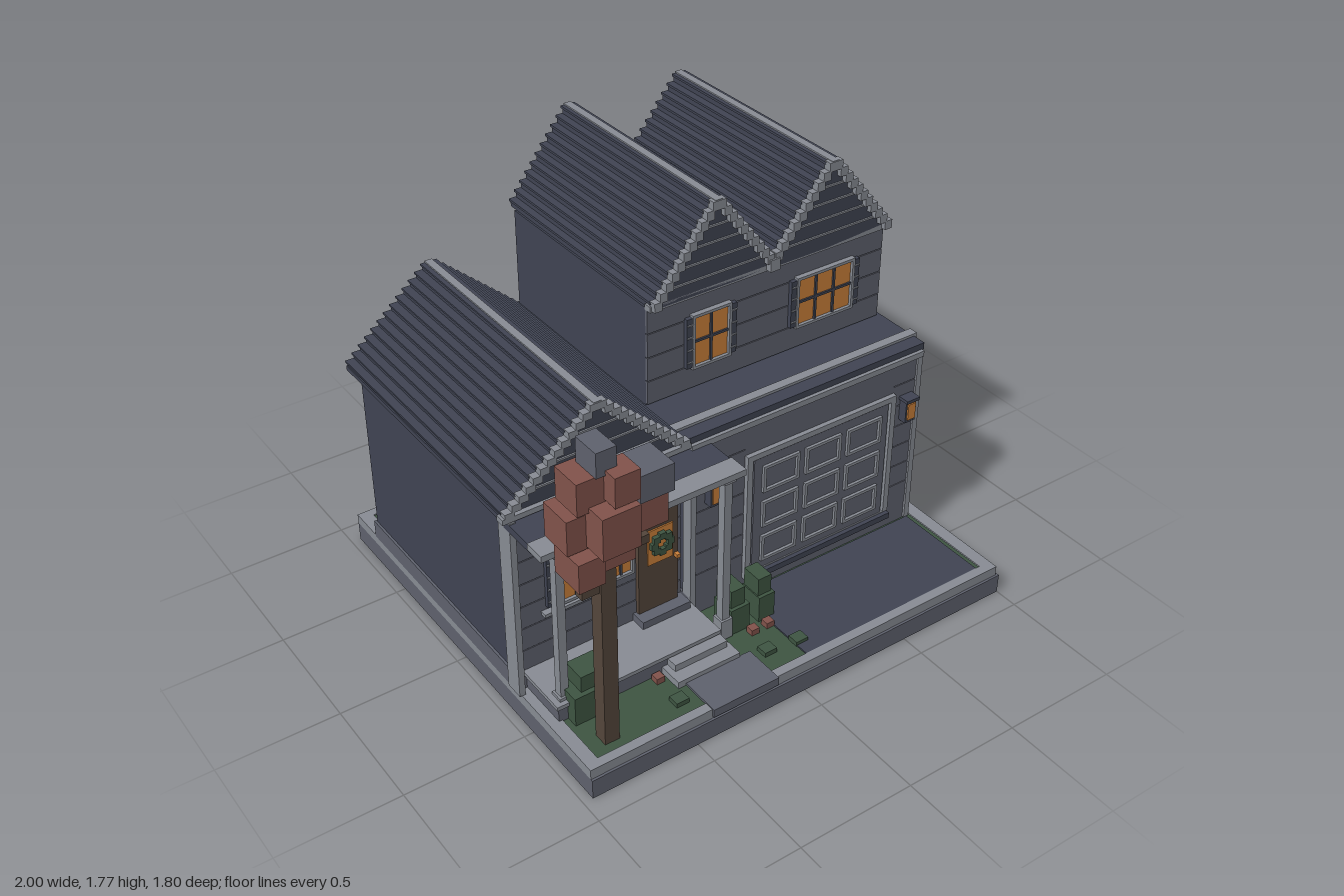
import * as THREE from 'three';

const mat = (name, color) => Object.assign(new THREE.MeshStandardMaterial({ color }), { name });

export function createModel() {
  const trim = mat('light trim', 0x888c94), siding = mat('grey siding', 0x5f626e);
  const slate = mat('dark slate', 0x404453), glow = mat('warm window', 0xcb803a);
  const red = mat('red leaves', 0x82534b), green = mat('garden green', 0x3e5542);
  const brown = mat('brown wood', 0x54463b);
  const root = new THREE.Group();
  root.name = 'house';

  // Box given by its extents on x, y and z
  const box = (name, m, x0, x1, y0, y1, z0, z1, parent = root) => {
    const mesh = new THREE.Mesh(new THREE.BoxGeometry(x1 - x0, y1 - y0, z1 - z0), m);
    mesh.position.set((x0 + x1) / 2, (y0 + y1) / 2, (z0 + z1) / 2);
    mesh.name = name;
    parent.add(mesh);
    return mesh;
  };
  const group = (name, parent = root) => {
    const g = new THREE.Group();
    g.name = name;
    parent.add(g);
    return g;
  };
  // Rectangular border of four bars, drawn inside the given extents
  const frame = (name, m, x0, x1, y0, y1, z0, z1, t, parent) => {
    box(name, m, x0, x1, y0, y0 + t, z0, z1, parent);
    box(name, m, x0, x1, y1 - t, y1, z0, z1, parent);
    box(name, m, x0, x0 + t, y0 + t, y1 - t, z0, z1, parent);
    box(name, m, x1 - t, x1, y0 + t, y1 - t, z0, z1, parent);
  };
  // Horizontal boards with dark seams between them
  const boards = (name, x0, x1, y0, y1, z, n) => {
    const h = (y1 - y0) / n;
    for (let i = 0; i < n; i++)
      box(name, siding, x0, x1, y0 + i * h, y0 + (i + 1) * h - 0.004, z, z + 0.012);
  };

  // Plot: base, kerb, lawn, driveway and path
  box('base', siding, -0.96, 1, 0, 0.085, -0.9, 0.9);
  box('kerbLeft', trim, -0.96, -0.905, 0.085, 0.128, -0.9, 0.89);
  box('kerbRight', trim, 0.935, 0.99, 0.085, 0.128, -0.9, 0.89);
  box('kerbBack', trim, -0.905, 0.935, 0.085, 0.128, -0.9, -0.86);
  box('kerbFront', trim, -0.905, 0.935, 0.085, 0.128, 0.85, 0.89);
  box('lawn', green, -0.905, 0.935, 0.085, 0.122, -0.86, 0.85);
  box('driveway', slate, 0.04, 0.915, 0.12, 0.128, 0.43, 0.85);
  box('path', siding, -0.43, -0.13, 0.095, 0.132, 0.72, 0.9);

  // Ground floor masses, with a narrow slot between them
  box('garagePlinth', siding, -0.2, 0.92, 0.12, 0.22, -0.76, 0.42);
  box('garageWalls', slate, -0.19, 0.91, 0.22, 0.95, -0.745, 0.41);
  box('cottagePlinth', siding, -0.96, -0.215, 0.12, 0.2, -0.735, 0.4);
  box('cottageWalls', slate, -0.95, -0.22, 0.2, 0.95, -0.725, 0.38);
  boards('cottageSiding', -0.95, -0.22, 0.2, 0.92, 0.38, 7);
  boards('garageSiding', -0.18, 0.055, 0.22, 0.92, 0.41, 7);
  boards('garageSiding', 0.79, 0.9, 0.22, 0.92, 0.41, 7);
  boards('garageSiding', 0.055, 0.79, 0.79, 0.92, 0.41, 1);
  for (const [a, b, z] of [[-0.2, -0.175, 0.38], [0.9, 0.925, 0.38], [-0.97, -0.945, 0.35]])
    box('cornerTrim', trim, a, b, 0.128, 0.93, z, 0.43);
  box('garageCornice', trim, -0.2, 0.925, 0.92, 0.945, 0.385, 0.435);
  box('garageRoof', slate, -0.215, 0.935, 0.94, 0.972, 0.07, 0.42);
  box('garageRoofEdge', trim, -0.23, 0.948, 0.95, 0.983, 0.32, 0.36);

  // Upper floor
  box('upperWalls', slate, -0.208, 0.91, 0.945, 1.395, -0.76, 0.15);
  boards('upperSiding', -0.208, 0.91, 0.98, 1.39, 0.15, 4);
  box('upperCornice', trim, -0.21, 0.918, 1.388, 1.412, 0.15, 0.185);
  box('sideCornice', trim, 0.905, 0.918, 1.383, 1.395, -0.79, 0.15);

  // Stepped gable roof: shrinking layers, with trim blocks on each front step
  const gable = (name, cx, hw, y0, y1, zb, zf, n, seam) => {
    const g = group(name), h = (y1 - y0) / n, s = hw / n;
    for (let i = 0; i < n; i++) {
      const w = hw - i * s, y = y0 + i * h;
      box('roofCourse', slate, cx - w, cx + w, y, y + h, zb, zf - 0.015, g);
      box('roofLip', slate, cx - w - 0.006, cx + w + 0.006, y + h * 0.7, y + h, zb - 0.003, zf - 0.02, g);
      if (i % seam === 0 && i > 0)
        box('gableSeam', trim, cx - w, cx + w, y - 0.004, y + 0.004, zf - 0.016, zf - 0.008, g);
      for (const k of [-1, 1]) {
        const e = cx + k * (w - s * 0.5);
        box('gableStep', trim, e - s * 0.65, e + s * 0.65, y, y + h + 0.004, zf - 0.028, zf + 0.005, g);
      }
    }
    box('ridge', trim, cx - 0.016, cx + 0.016, y1 - 0.02, y1 + 0.006, zb - 0.005, zf, g);
  };
  gable('upperRoofLeft', 0.615, 0.295, 1.395, 1.76, -0.8, 0.2, 11, 2);
  gable('upperRoofRight', 0.08, 0.28, 1.395, 1.76, -0.8, 0.2, 11, 2);
  box('valleyBlock', trim, 0.315, 0.36, 1.395, 1.445, 0.17, 0.212);
  gable('cottageRoof', -0.595, 0.385, 0.945, 1.285, -0.77, 0.425, 13, 3);
  box('cottageEave', trim, -0.995, -0.2, 0.935, 0.957, 0.39, 0.43);
  box('cottageEaveSide', slate, -0.985, -0.95, 0.93, 0.95, -0.77, 0.39);

  // Porch
  const porch = group('porch');
  box('porchRoof', slate, -0.97, -0.115, 0.893, 0.925, 0.39, 0.57, porch);
  box('porchRoofEdge', trim, -0.975, -0.112, 0.905, 0.932, 0.555, 0.645, porch);
  box('porchBeam', siding, -0.94, -0.13, 0.885, 0.905, 0.56, 0.62, porch);
  box('porchDeck', siding, -0.92, -0.2, 0.12, 0.19, 0.39, 0.62, porch);
  box('porchDeckEdge', trim, -0.93, -0.2, 0.19, 0.207, 0.39, 0.63, porch);
  for (const x of [-0.88, -0.157]) {
    box('porchColumn', trim, x - 0.017, x + 0.017, 0.128, 0.88, 0.565, 0.602, porch);
    box('columnCap', trim, x - 0.026, x + 0.026, 0.865, 0.89, 0.556, 0.611, porch);
    box('columnFoot', trim, x - 0.026, x + 0.026, 0.128, 0.22, 0.556, 0.611, porch);
  }
  box('upperStep', trim, -0.44, -0.2, 0.12, 0.182, 0.6, 0.67, porch);
  box('lowerStep', trim, -0.465, -0.18, 0.12, 0.152, 0.6, 0.725, porch);

  // Window facing +z with glazing bars and optional shutters, then wall placement
  const windowAt = (x, y, z, w, h, cols, rows, shutter, turn = 0) => {
    const g = group('window');
    g.position.set(x, y, z);
    g.rotation.y = turn;
    const a = w / 2, b = h / 2;
    box('glass', glow, -a, a, -b, b, 0, 0.009, g);
    frame('windowFrame', trim, -a - 0.01, a + 0.01, -b - 0.01, b + 0.01, 0, 0.022, 0.012, g);
    for (let i = 1; i < cols; i++)
      box('glazingBar', slate, -a + w * i / cols - 0.005, -a + w * i / cols + 0.005, -b, b, 0.008, 0.016, g);
    for (let i = 1; i < rows; i++)
      box('glazingBar', slate, -a, a, -b + h * i / rows - 0.005, -b + h * i / rows + 0.005, 0.008, 0.016, g);
    if (shutter) for (const k of [-1, 1]) {
      const c = k * (a + 0.02);
      box('shutter', slate, c - 0.015, c + 0.015, -b, b, 0, 0.018, g);
      for (let i = 0; i < 4; i++)
        box('shutterSlat', trim, c - 0.013, c + 0.013, -b + h * (i + 0.45) / 4, -b + h * (i + 0.55) / 4, 0.016, 0.024, g);
    }
  };
  windowAt(0.072, 1.19, 0.162, 0.16, 0.215, 2, 2, true);
  windowAt(0.615, 1.19, 0.162, 0.265, 0.205, 3, 2, true);
  windowAt(-0.695, 0.578, 0.392, 0.18, 0.225, 2, 2, true);
  windowAt(-0.5, 0.578, 0.392, 0.095, 0.225, 2, 2, false);
  windowAt(0.91, 1.17, 0.03, 0.13, 0.21, 2, 1, false, Math.PI / 2);
  windowAt(0.91, 1.17, -0.35, 0.13, 0.21, 2, 1, false, Math.PI / 2);
  box('windowSill', trim, -0.84, -0.6, 0.435, 0.45, 0.39, 0.42);

  // Front door with wreath and knob
  const door = group('frontDoor');
  box('doorLeaf', brown, -0.425, -0.245, 0.205, 0.685, 0.39, 0.41, door);
  box('doorStep', siding, -0.44, -0.22, 0.2, 0.24, 0.39, 0.46, door);
  box('doorGlass', glow, -0.385, -0.272, 0.46, 0.62, 0.41, 0.416, door);
  box('doorKnob', glow, -0.263, -0.247, 0.45, 0.466, 0.41, 0.43, door);
  for (let i = 0; i < 8; i++) {
    const t = i * Math.PI / 4, x = -0.328 + Math.cos(t) * 0.037, y = 0.552 + Math.sin(t) * 0.037;
    box('wreathLeaf', green, x - 0.014, x + 0.014, y - 0.014, y + 0.014, 0.414, 0.434, door);
  }

  // Garage door with nine framed panels
  const garage = group('garageDoor');
  frame('garageFrame', trim, 0.055, 0.79, 0.2, 0.79, 0.4, 0.442, 0.025, garage);
  box('garageReveal', slate, 0.08, 0.765, 0.22, 0.765, 0.4, 0.424, garage);
  box('garageLeaf', siding, 0.09, 0.755, 0.225, 0.76, 0.42, 0.437, garage);
  for (let i = 0; i < 3; i++) for (let j = 0; j < 3; j++) {
    const x = 0.128 + i * 0.207, y = 0.265 + j * 0.167;
    frame('garagePanel', trim, x, x + 0.175, y, y + 0.122, 0.436, 0.449, 0.013, garage);
  }
  box('garageThreshold', slate, 0.06, 0.785, 0.195, 0.222, 0.42, 0.46, garage);

  // Wall lamps
  for (const x of [-0.105, 0.855]) {
    const lamp = group('wallLamp');
    box('lampBody', slate, x - 0.026, x + 0.026, 0.65, 0.755, 0.42, 0.46, lamp);
    box('lampCap', slate, x - 0.032, x + 0.032, 0.748, 0.762, 0.42, 0.472, lamp);
    box('lampGlow', glow, x - 0.019, x + 0.019, 0.665, 0.738, 0.459, 0.467, lamp);
  }

  // Tree with block foliage
  const tree = group('tree');
  box('trunk', brown, -0.845, -0.783, 0.12, 0.93, 0.748, 0.81, tree);
  box('branch', brown, -0.915, -0.84, 0.82, 0.86, 0.76, 0.8, tree);
  box('branch', brown, -0.73, -0.64, 0.945, 0.98, 0.76, 0.8, tree);
  for (const [m, ...e] of [
    [red, -0.935, -0.81, 1.19, 1.32, 0.69, 0.82], [red, -0.83, -0.73, 1.22, 1.34, 0.78, 0.885],
    [red, -0.965, -0.86, 1.03, 1.17, 0.66, 0.8], [red, -0.89, -0.74, 1.04, 1.21, 0.76, 0.9],
    [red, -0.75, -0.59, 1.04, 1.17, 0.67, 0.84], [red, -0.955, -0.85, 0.9, 1.02, 0.7, 0.85],
    [red, -0.86, -0.71, 0.92, 1.04, 0.67, 0.82], [siding, -0.865, -0.785, 1.32, 1.42, 0.71, 0.83],
    [siding, -0.71, -0.572, 1.165, 1.275, 0.705, 0.85]]) box('leaves', m, ...e, tree);

  // Bushes, small shrubs and flowers
  for (const e of [
    [-0.88, -0.79, 0.12, 0.25, 0.56, 0.67], [-0.85, -0.71, 0.12, 0.25, 0.53, 0.66],
    [-0.84, -0.72, 0.25, 0.32, 0.55, 0.65], [-0.13, -0.04, 0.12, 0.24, 0.49, 0.6],
    [-0.12, -0.055, 0.24, 0.32, 0.49, 0.585], [0.005, 0.08, 0.12, 0.24, 0.49, 0.6],
    [0.01, 0.072, 0.24, 0.32, 0.495, 0.585], [0.915, 0.925, 0.22, 0.245, -0.63, -0.53]])
    box('bush', green, ...e);
  for (const [x, z] of [[-0.5, 0.78], [-0.07, 0.75], [0.065, 0.77]])
    box('shrub', green, x - 0.028, x + 0.028, 0.12, 0.142, z - 0.025, z + 0.025);
  for (const [x, z] of [[-0.5, 0.645], [-0.048, 0.633], [0.024, 0.633]])
    box('flower', red, x - 0.018, x + 0.018, 0.12, 0.148, z - 0.018, z + 0.018);
  return root;
}
